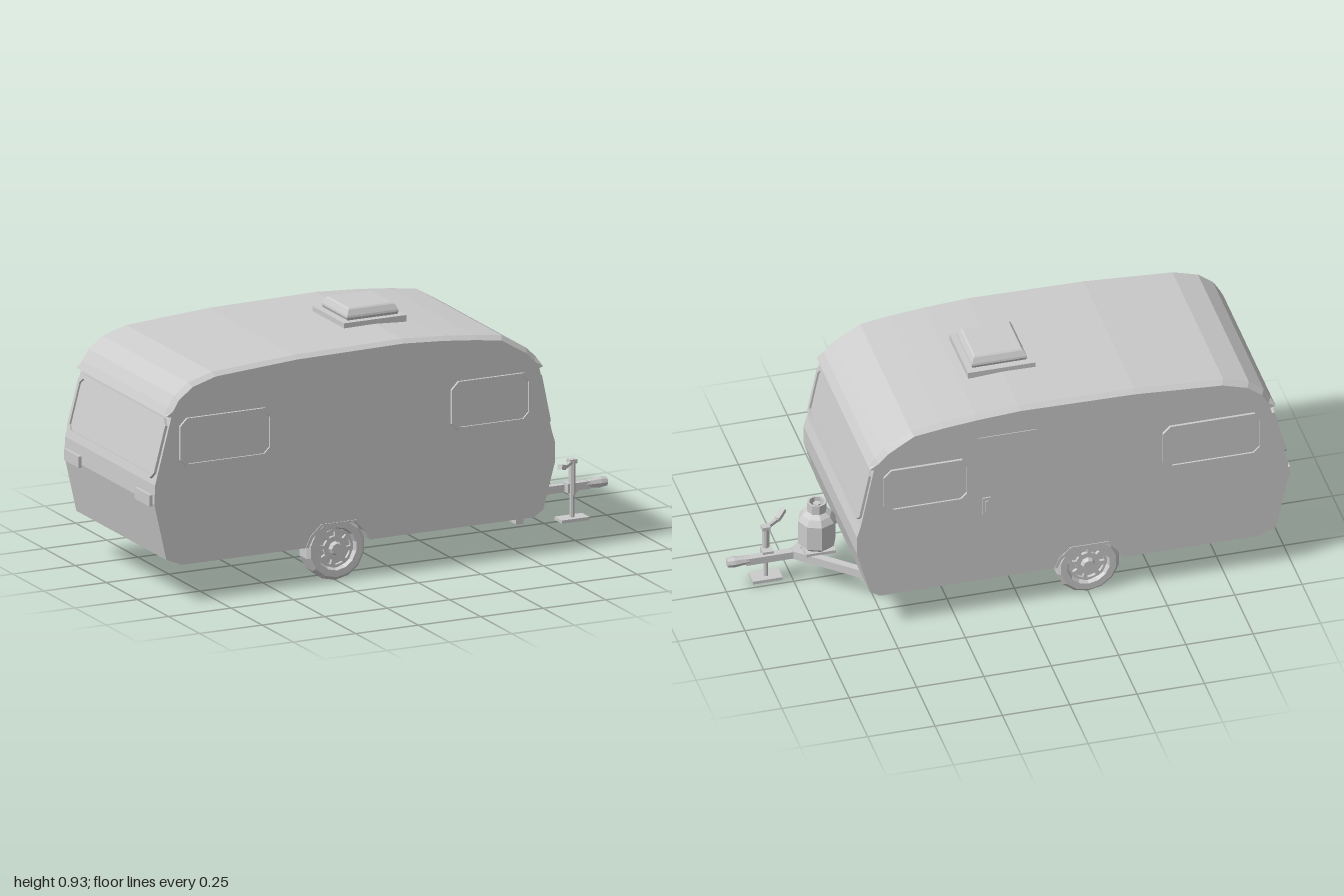
import * as THREE from 'three';

const mat = new THREE.MeshStandardMaterial({ color: 0xcccccc, flatShading: true });

function add(parent, name, geometry, x = 0, y = 0, z = 0) {
  const mesh = new THREE.Mesh(geometry, mat);
  mesh.name = name;
  mesh.position.set(x, y, z);
  parent.add(mesh);
  return mesh;
}

const box = (w, h, d) => new THREE.BoxGeometry(w, h, d);
const toShape = pts => new THREE.Shape(pts.map(p => new THREE.Vector2(p[0], p[1])));
const extrude = (shape, depth) => new THREE.ExtrudeGeometry(shape, { depth, bevelEnabled: false });
const lathe = (pts, sides) => new THREE.LatheGeometry(pts.map(p => new THREE.Vector2(p[0], p[1])), sides);

// Square bar running from point a to point b
function bar(parent, name, a, b, w, h) {
  const from = new THREE.Vector3(...a), to = new THREE.Vector3(...b);
  const mesh = add(parent, name, box(w, h, from.distanceTo(to)));
  mesh.position.copy(from).add(to).multiplyScalar(0.5);
  mesh.lookAt(to);
  return mesh;
}

// Rectangle outline with chamfered corners
function octagon(w, h, c) {
  const x = w / 2, y = h / 2;
  return [[-x + c, -y], [x - c, -y], [x, -y + c], [x, y - c], [x - c, y], [-x + c, y], [-x, y - c], [-x, -y + c]];
}

// Window facing +z: raised frame around a pane
function makeWindow(name, w, h, chamfer, rim) {
  const group = new THREE.Group();
  group.name = name;
  const outer = toShape(octagon(w, h, chamfer));
  const inner = octagon(w - 2 * rim, h - 2 * rim, chamfer * 0.8);
  outer.holes.push(new THREE.Path(inner.map(p => new THREE.Vector2(p[0], p[1]))));
  add(group, 'windowFrame', extrude(outer, 0.018), 0, 0, -0.008);
  add(group, 'windowPane', extrude(toShape(inner), 0.01), 0, 0, -0.007);
  return group;
}

// Side profile of the shell, with the overhanging roof lip at both ends
const shellTop = [
  [0.53, 0.142], [0.567, 0.166], [0.615, 0.34], [0.615, 0.41], [0.6, 0.46], [0.552, 0.695],
  [0.567, 0.7], [0.545, 0.735], [0.51, 0.77], [0.41, 0.83], [0.3, 0.845], [0.17, 0.858], [0.01, 0.868],
  [-0.42, 0.862], [-0.75, 0.84], [-0.845, 0.812], [-0.9, 0.77], [-0.925, 0.73], [-0.94, 0.7],
  [-0.92, 0.695], [-0.985, 0.45], [-0.988, 0.38], [-0.94, 0.168], [-0.877, 0.142],
];
const arch = [[-0.372, 0.142], [-0.355, 0.175], [-0.315, 0.215], [-0.185, 0.215], [-0.145, 0.175], [-0.128, 0.142]];

function makeBody() {
  const body = new THREE.Group();
  body.name = 'body';
  const notched = toShape([...shellTop, ...arch]);
  add(body, 'shellCore', extrude(toShape(shellTop), 0.5), 0, 0, -0.25);
  for (const s of [1, -1]) {
    add(body, 'shellSide', extrude(notched, 0.094), 0, 0, s > 0 ? 0.25 : -0.344);
    // Outer slice, its roof edge pulled in to form a chamfer
    const edge = extrude(notched, 0.018);
    const p = edge.attributes.position;
    for (let i = 0; i < p.count; i++) {
      const outside = s > 0 ? p.getZ(i) > 0.009 : p.getZ(i) < 0.009;
      if (outside && p.getY(i) > 0.72) p.setXY(i, -0.18 + (p.getX(i) + 0.18) * 0.985, p.getY(i) - 0.014);
    }
    edge.computeVertexNormals();
    add(body, 'shellEdge', edge, 0, 0, s > 0 ? 0.344 : -0.362);
    // Thin lip around the wheel arch
    const lip = arch.map(([x, y]) => [-0.25 + (x + 0.25) * 1.09, y > 0.15 ? y + 0.008 : y]);
    add(body, 'archLip', extrude(toShape([...lip, ...arch.slice().reverse()]), 0.008), 0, 0, s > 0 ? 0.357 : -0.365);
  }
  return body;
}

function makeWheel() {
  const wheel = new THREE.Group();
  wheel.name = 'wheel';
  const tyre = lathe([[0.072, -0.04], [0.105, -0.04], [0.118, -0.028], [0.118, 0.028], [0.105, 0.04],
    [0.08, 0.04], [0.072, 0.022]], 14).rotateX(Math.PI / 2);
  add(wheel, 'tyre', tyre);
  // Slotted rim in front of a backing disc
  const disc = new THREE.Shape().absarc(0, 0, 0.076, 0, Math.PI * 2);
  for (let i = 0; i < 8; i++) {
    const a = i * Math.PI / 4, slot = new THREE.Path();
    slot.absarc(0, 0, 0.062, a, a + 0.5, false);
    slot.absarc(0, 0, 0.044, a + 0.5, a, true);
    slot.closePath();
    disc.holes.push(slot);
  }
  add(wheel, 'rim', new THREE.ExtrudeGeometry(disc, { depth: 0.012, bevelEnabled: false, curveSegments: 4 }), 0, 0, 0.014);
  add(wheel, 'rimBack', new THREE.CylinderGeometry(0.076, 0.076, 0.03, 14).rotateX(Math.PI / 2), 0, 0, -0.02);
  add(wheel, 'hub', new THREE.CylinderGeometry(0.02, 0.028, 0.02, 8).rotateX(Math.PI / 2), 0, 0, 0.032);
  return wheel;
}

function makeHitch() {
  const hitch = new THREE.Group();
  hitch.name = 'hitch';
  // A-frame, drawbar and coupler
  add(hitch, 'crossBar', box(0.03, 0.03, 0.62), 0.5, 0.122, 0);
  for (const s of [1, -1]) bar(hitch, 'frameArm', [0.49, 0.124, s * 0.23], [0.75, 0.124, 0], 0.028, 0.032);
  bar(hitch, 'drawbar', [0.7, 0.124, 0], [0.93, 0.124, 0], 0.028, 0.028);
  const coupler = lathe([[0, 0], [0.016, 0], [0.017, 0.02], [0.021, 0.055], [0.018, 0.08], [0, 0.082]], 8);
  add(hitch, 'coupler', coupler.rotateZ(-Math.PI / 2), 0.918, 0.127, 0);

  // Gas bottle with collar and valve
  const tray = add(hitch, 'bottleTray', box(0.11, 0.012, 0.13), 0.665, 0.144, 0);
  tray.scale.z = 0.9;
  add(hitch, 'gasBottle', lathe([[0, 0.145], [0.05, 0.145], [0.07, 0.165], [0.07, 0.262], [0.055, 0.285],
    [0.03, 0.302], [0, 0.305]], 8), 0.665, 0, 0);
  add(hitch, 'bottleCollar', lathe([[0.028, 0.295], [0.036, 0.295], [0.036, 0.335], [0.028, 0.335], [0.028, 0.295]], 8), 0.665, 0, 0);
  add(hitch, 'bottleValve', new THREE.CylinderGeometry(0.014, 0.014, 0.03, 6), 0.665, 0.313, 0);

  // Jockey stand with foot plate and crank
  add(hitch, 'standTube', new THREE.CylinderGeometry(0.014, 0.014, 0.125, 8), 0.845, 0.168, 0.035);
  add(hitch, 'standLeg', new THREE.CylinderGeometry(0.009, 0.009, 0.13, 8), 0.845, 0.08, 0.035);
  add(hitch, 'standFoot', box(0.11, 0.012, 0.06), 0.845, 0.016, 0.035);
  add(hitch, 'standClamp', box(0.04, 0.035, 0.045), 0.845, 0.13, 0.02);
  add(hitch, 'crankHead', box(0.03, 0.015, 0.026), 0.845, 0.23, 0.035);
  bar(hitch, 'crankArm', [0.845, 0.227, 0.035], [0.785, 0.222, 0.085], 0.012, 0.012);
  bar(hitch, 'crankGrip', [0.79, 0.224, 0.08], [0.757, 0.238, 0.114], 0.018, 0.018);
  return hitch;
}

export function createModel() {
  const model = new THREE.Group();
  model.name = 'caravan';
  model.add(makeBody());

  // Side windows, the same on both sides
  for (const s of [1, -1]) {
    for (const [x, w] of [[-0.704, 0.37], [0.357, 0.32]]) {
      const win = makeWindow('sideWindow', w, 0.182, 0.028, 0.012);
      win.position.set(x, 0.596, s * 0.362);
      if (s < 0) win.rotation.y = Math.PI;
      model.add(win);
    }
  }
  // End windows, lying on the sloped walls
  for (const [name, x, turn, tilt] of [['frontWindow', 0.576, 1, 0.203], ['rearWindow', -0.952, -1, 0.259]]) {
    const win = makeWindow(name, 0.7, 0.224, 0.024, 0.016);
    win.position.set(x, 0.576, 0);
    win.rotation.set(-tilt, turn * Math.PI / 2, 0, 'YXZ');
    model.add(win);
  }

  // Door and handle on the right side
  add(model, 'door', box(0.215, 0.58, 0.008), 0.057, 0.475, -0.361);
  add(model, 'doorHandlePlate', box(0.028, 0.075, 0.008), 0.135, 0.465, -0.366);
  add(model, 'doorHandle', box(0.012, 0.05, 0.008), 0.135, 0.465, -0.37);

  // Rear lamps
  for (const s of [1, -1]) add(model, 'rearLamp', box(0.025, 0.042, 0.12), -0.986, 0.39, s * 0.285);

  // Roof hatch
  add(model, 'hatchBase', box(0.25, 0.024, 0.255), 0.013, 0.873, 0);
  const lid = lathe([[0, 0.88], [0.138, 0.88], [0.146, 0.895], [0.144, 0.902], [0.13, 0.922], [0.122, 0.927], [0, 0.927]], 4);
  add(model, 'hatchLid', lid.rotateY(Math.PI / 4), 0.015, 0, 0);

  // Axle and wheels
  add(model, 'axle', new THREE.CylinderGeometry(0.022, 0.022, 0.56, 8).rotateX(Math.PI / 2), -0.25, 0.118, 0);
  for (const s of [1, -1]) {
    const wheel = makeWheel();
    wheel.position.set(-0.25, 0.118, s * 0.305);
    if (s < 0) wheel.rotation.y = Math.PI;
    model.add(wheel);
  }

  model.add(makeHitch());
  return model;
}
